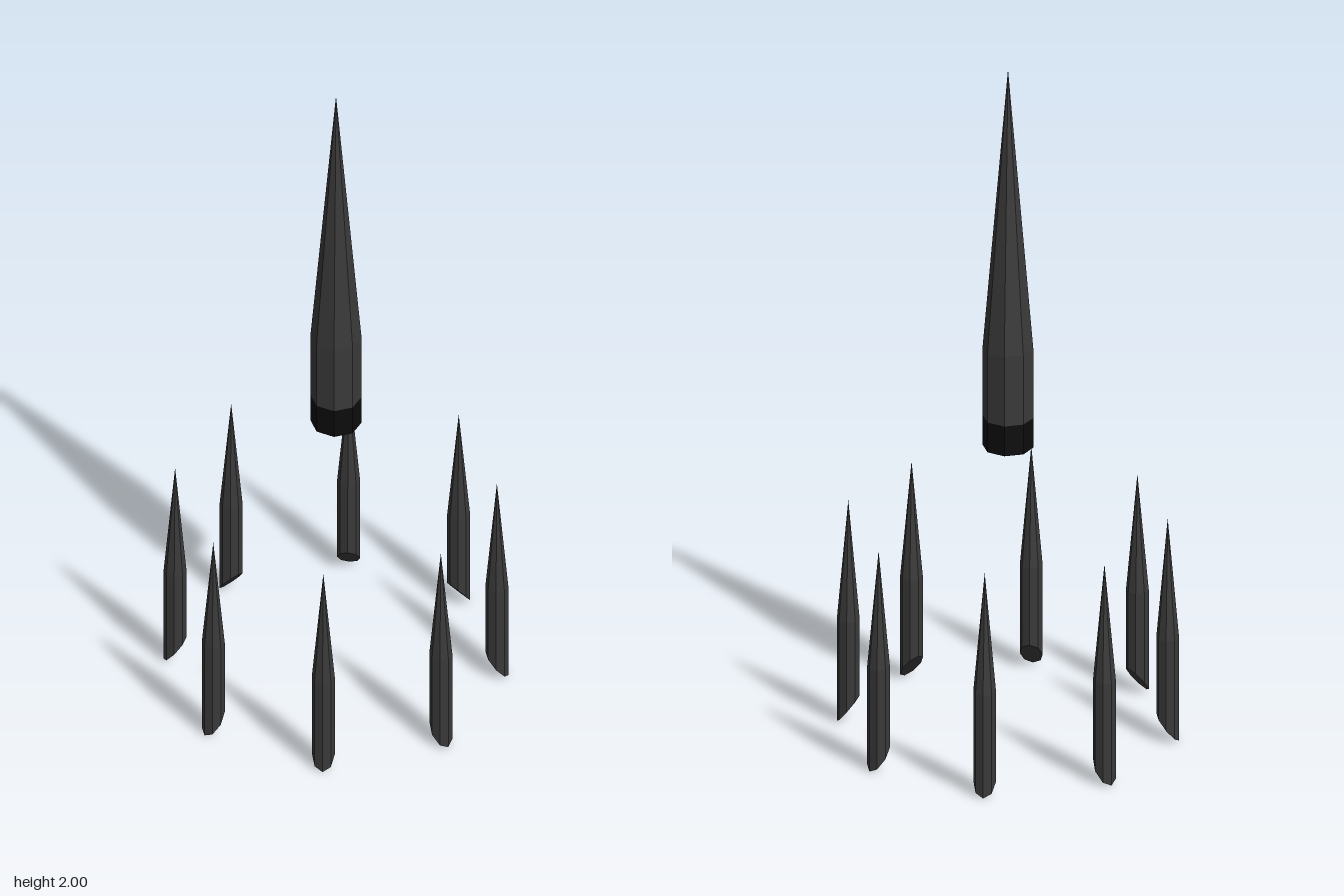
import * as THREE from 'three';

const SIDES = 8;

// Eight-sided spike with a closed base: straight shaft, then a long point
function spikeGeometry(radius, base, shoulder, tip) {
  const profile = [[0, base], [radius, base], [radius, shoulder], [0, tip]];
  return new THREE.LatheGeometry(profile.map(([r, y]) => new THREE.Vector2(r, y)), SIDES);
}

// Cuts the base at a slant, lowest on the +x side
function slantBase(geometry, radius, rise) {
  const p = geometry.attributes.position;
  for (let i = 0; i < p.count; i++) {
    if (p.getY(i) < 0.01) p.setY(i, (rise / 2) * (1 - p.getX(i) / radius));
  }
  geometry.computeVertexNormals();
  return geometry;
}

export function createModel() {
  const model = new THREE.Group();
  model.name = 'spikeRing';
  const dark = new THREE.MeshStandardMaterial({ color: 0x3a3a3a, flatShading: true });
  const black = new THREE.MeshStandardMaterial({ color: 0x0c0c0c, flatShading: true });

  // Large floating spike in the middle, with a black foot
  const centre = new THREE.Group();
  centre.name = 'centralSpike';
  const body = new THREE.Mesh(spikeGeometry(0.071, 0.95, 1.16, 2), dark);
  body.name = 'centralSpikeBody';
  const foot = new THREE.Mesh(new THREE.CylinderGeometry(0.071, 0.071, 0.09, SIDES), black);
  foot.name = 'centralSpikeFoot';
  foot.position.y = 0.905;
  centre.add(body, foot);
  model.add(centre);

  // Ring of eight small spikes, slanted bases facing inward
  const radius = 0.032;
  for (let i = 0; i < 8; i++) {
    const angle = (i * Math.PI) / 4;
    const tip = i % 2 ? 0.67 : 0.66;
    const spike = new THREE.Mesh(slantBase(spikeGeometry(radius, 0, 0.31, tip), radius, 0.08), dark);
    spike.name = `ringSpike${i + 1}`;
    spike.position.set(0.448 * Math.cos(angle), 0, -0.448 * Math.sin(angle));
    spike.rotation.y = angle;
    model.add(spike);
  }
  return model;
}
